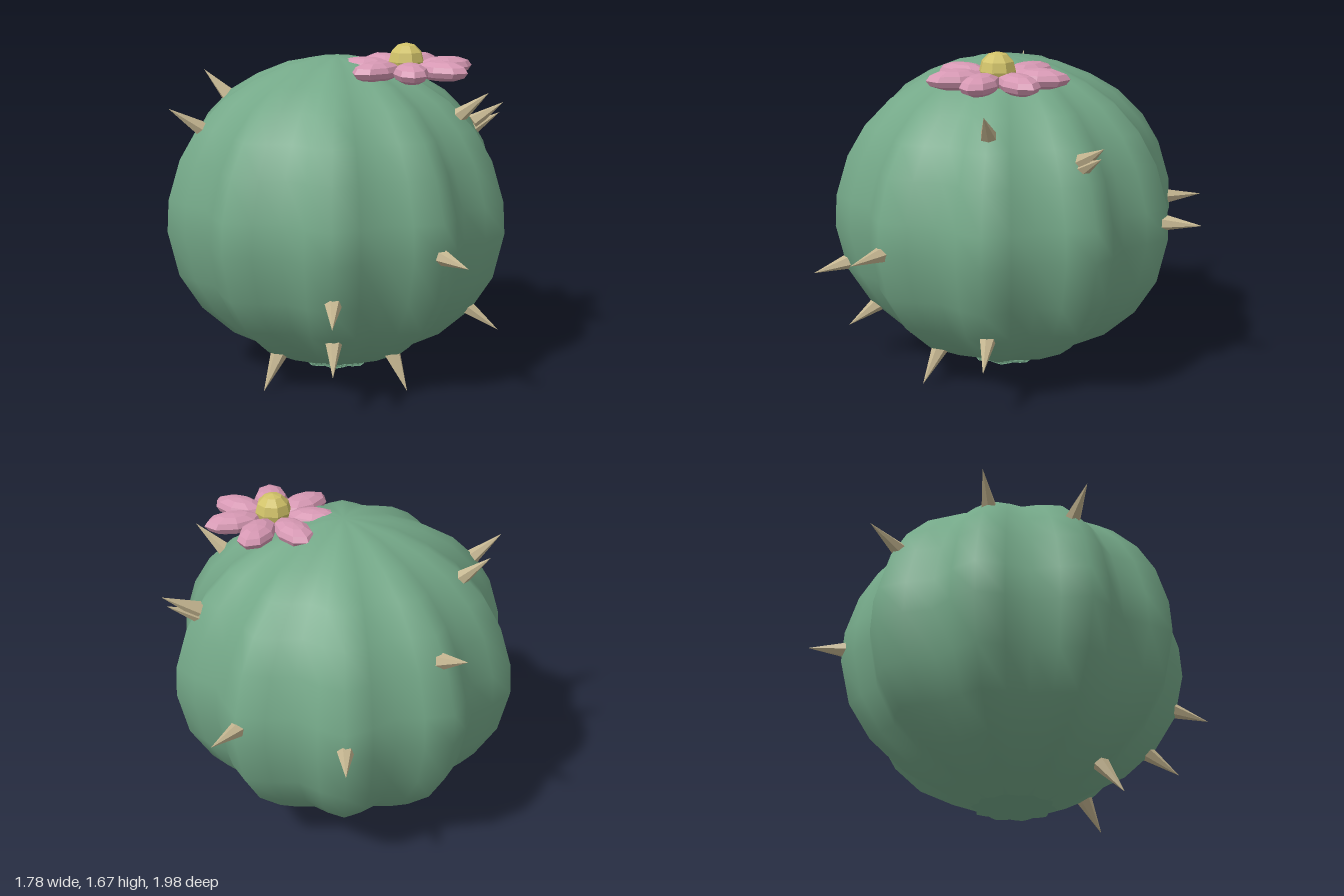
import * as THREE from 'three';
import { mergeVertices } from 'three/addons/utils/BufferGeometryUtils.js';

const mat = (name, color, flatShading = false) => {
  const m = new THREE.MeshStandardMaterial({ color, flatShading });
  m.name = name;
  return m;
};

// Lathe whose radius swells and dips around ten ribs
function ribbedLathe(profile) {
  const points = profile.map(([r, y]) => new THREE.Vector2(r, y));
  const lathe = new THREE.LatheGeometry(points, 40);
  lathe.deleteAttribute('uv');
  lathe.deleteAttribute('normal');
  const pos = lathe.attributes.position;
  for (let i = 0; i < pos.count; i++) {
    const x = pos.getX(i), z = pos.getZ(i);
    const k = (1 + 0.065 * Math.cos(10 * Math.atan2(z, x))) / 1.065;
    pos.setX(i, x * k);
    pos.setZ(i, z * k);
  }
  const geo = mergeVertices(lathe, 1e-4);
  geo.computeVertexNormals();
  return geo;
}

export function createModel() {
  const model = new THREE.Group();
  model.name = 'cactus';
  const green = mat('cactusGreen', 0x74a888);
  const tan = mat('spineTan', 0xc4b590, true);
  const pink = mat('petalPink', 0xd698b3, true);
  const yellow = mat('pollenYellow', 0xd0c168, true);

  const add = (parent, name, geometry, material) => {
    const mesh = new THREE.Mesh(geometry, material);
    mesh.name = name;
    parent.add(mesh);
    return mesh;
  };

  // Ribbed body and its flat underside
  const body = add(model, 'body', ribbedLathe([
    [0.18, 0.025], [0.35, 0.095], [0.55, 0.2], [0.71, 0.35], [0.82, 0.53],
    [0.872, 0.76], [0.862, 0.92], [0.8, 1.12], [0.71, 1.27], [0.58, 1.4],
    [0.43, 1.49], [0.26, 1.56], [0.1, 1.592], [0, 1.595],
  ]), green);
  const base = add(model, 'base', ribbedLathe([[0, 0.022], [0.21, 0.022], [0.18, 0.026]]), green);
  body.position.x = base.position.x = -0.022;

  // Spines: each tip is given, the cone points away from the body's centre
  const spines = new THREE.Group();
  spines.name = 'spines';
  model.add(spines);
  const length = 0.2;
  const cone = new THREE.ConeGeometry(0.042, length, 6);
  const centre = new THREE.Vector3(-0.022, 0.81, 0);
  const up = new THREE.Vector3(0, 1, 0);
  const tips = [
    [-0.87, 1.375, 0], [0.885, 1.32, 0], [0.865, 1.268, 0],
    [-0.61, 1.495, -0.43], [0.605, 1.455, 0.455],
    [0.82, 0.85, -0.61], [0.3, 0.825, -0.99], [-0.31, 1.245, -0.885],
    [0.3, 0.755, 0.99], [-0.325, 0.515, 0.945], [-0.275, 0.22, 0.785],
    [-0.5, 0.005, 0.345], [0.165, 0.02, 0.575], [0.67, 0.26, 0.5],
  ];
  for (const t of tips) {
    const tip = new THREE.Vector3(...t);
    const dir = tip.clone().sub(centre).normalize();
    const spine = add(spines, 'spine', cone, tan);
    spine.position.copy(tip).addScaledVector(dir, -length / 2);
    spine.quaternion.setFromUnitVectors(up, dir);
  }

  // Flower: seven faceted petals around a round centre
  const flower = new THREE.Group();
  flower.name = 'flower';
  flower.position.set(0.27, 1.555, 0.205);
  model.add(flower);
  const petalGeo = new THREE.SphereGeometry(1, 8, 6).scale(0.145, 0.05, 0.085).translate(0.2, 0, 0);
  for (let i = 0; i < 7; i++) {
    add(flower, 'petal', petalGeo, pink).rotation.y = (i / 7) * Math.PI * 2;
  }
  add(flower, 'flowerCentre', new THREE.SphereGeometry(0.09, 8, 6), yellow).position.y = 0.033;

  return model;
}
